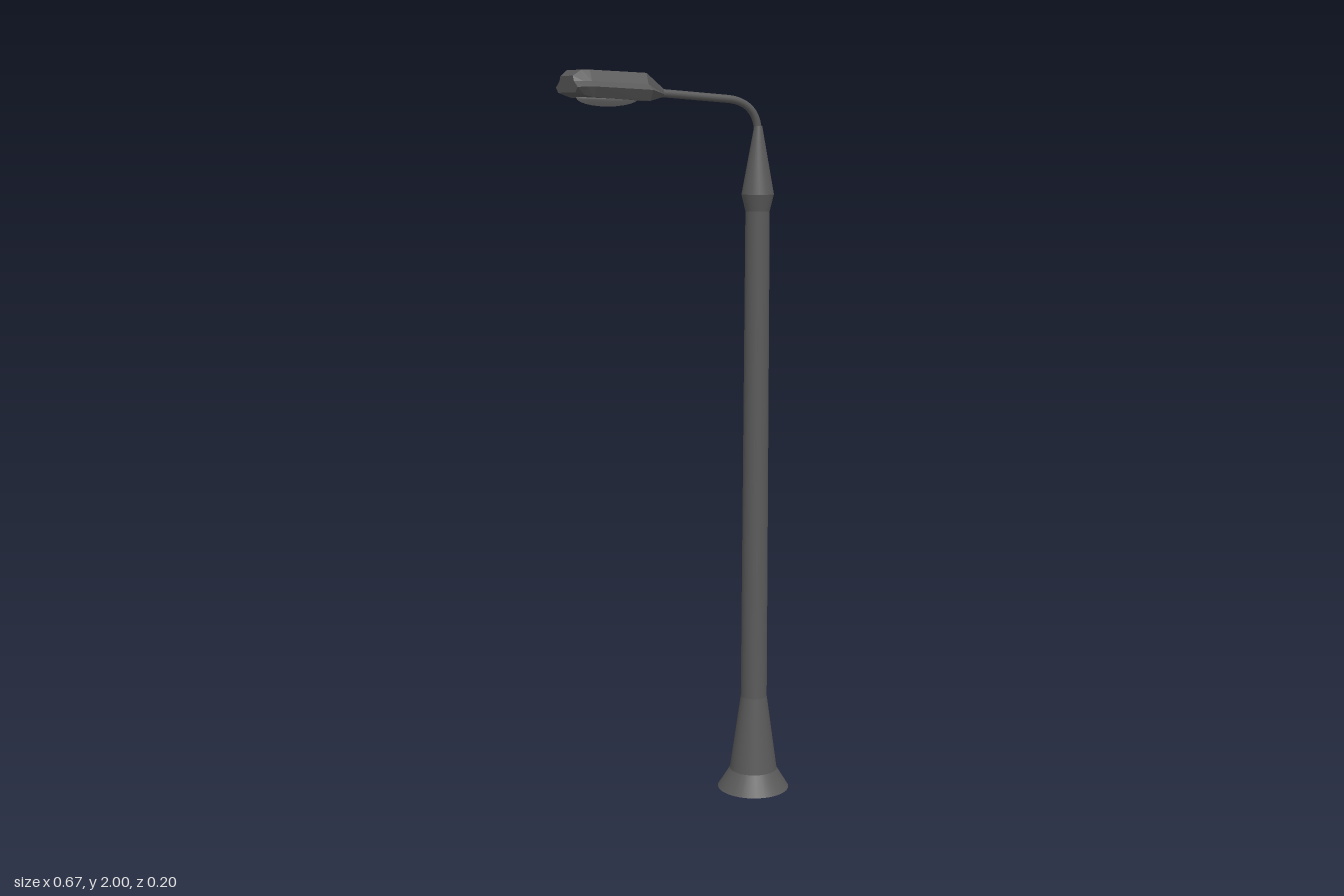
import * as THREE from 'three';

const metal = new THREE.MeshStandardMaterial({ color: 0x5a5a5a });
const facetedMetal = new THREE.MeshStandardMaterial({ color: 0x5a5a5a, flatShading: true });
const glass = new THREE.MeshStandardMaterial({ color: 0x8a8a8a });
const POLE_X = 0.232;

function addMesh(parent, name, geometry, material) {
  const mesh = new THREE.Mesh(geometry, material);
  mesh.name = name;
  parent.add(mesh);
  return mesh;
}

// Closed body through cross-sections of equal point count, with capped ends
function loft(sections) {
  const n = sections[0].length;
  const index = [];
  for (let s = 0; s < sections.length - 1; s++) {
    for (let i = 0; i < n; i++) {
      const a = s * n + i, b = s * n + (i + 1) % n;
      index.push(a, a + n, b, b, a + n, b + n);
    }
  }
  const last = (sections.length - 1) * n;
  for (let i = 1; i < n - 1; i++) {
    index.push(0, i, i + 1, last, last + i + 1, last + i);
  }
  const geometry = new THREE.BufferGeometry();
  geometry.setAttribute('position', new THREE.Float32BufferAttribute(sections.flat(2), 3));
  geometry.setIndex(index);
  const faceted = geometry.toNonIndexed();
  faceted.computeVertexNormals();
  return faceted;
}

// Lamp section at x: half-profile [z, y] from bottom to top, mirrored in z
function lampSection(x, half) {
  const front = half.map(([z, y]) => [x, y, z]);
  const back = half.map(([z, y]) => [x, y, -z]).reverse();
  return [...front, ...back];
}

export function createModel() {
  const model = new THREE.Group();
  model.name = 'streetLamp';

  // Pole: stacked tapered rings with crisp joints
  const pole = new THREE.Group();
  pole.name = 'pole';
  pole.position.x = POLE_X;
  model.add(pole);
  const rings = [[0.101, 0], [0.067, 0.055], [0.037, 0.27], [0.033, 1.635], [0.044, 1.68], [0.011, 1.86]];
  const names = ['baseFlange', 'baseCone', 'shaft', 'collar', 'topCone'];
  names.forEach((name, i) => {
    const [r0, y0] = rings[i], [r1, y1] = rings[i + 1];
    const part = addMesh(pole, name, new THREE.CylinderGeometry(r1, r0, y1 - y0, 28, 1, true), metal);
    part.position.y = (y0 + y1) / 2;
  });
  const underside = addMesh(pole, 'baseUnderside', new THREE.CircleGeometry(0.101, 28), metal);
  underside.rotation.x = Math.PI / 2;

  // Arm: rises from the cone and bends over to the lamp
  const armPath = new THREE.CurvePath();
  const p = (x, y) => new THREE.Vector3(x, y, -0.002);
  armPath.add(new THREE.LineCurve3(p(POLE_X, 1.83), p(POLE_X, 1.85)));
  armPath.add(new THREE.CubicBezierCurve3(p(POLE_X, 1.85), p(0.228, 1.9), p(0.195, 1.926), p(0.14, 1.931)));
  armPath.add(new THREE.LineCurve3(p(0.14, 1.931), p(-0.064, 1.945)));
  addMesh(model, 'arm', new THREE.TubeGeometry(armPath, 40, 0.0105, 12, false), metal);

  // Lamp head: sections from the blunt end to the neck
  const lamp = new THREE.Group();
  lamp.name = 'lampHead';
  model.add(lamp);
  const sections = [
    lampSection(-0.333, [[0.05, 1.944], [0.063, 1.957], [0.042, 1.972], [0.036, 1.985]]),
    lampSection(-0.312, [[0.058, 1.938], [0.073, 1.958], [0.051, 1.972], [0.043, 2.0]]),
    lampSection(-0.29, [[0.066, 1.932], [0.082, 1.958], [0.056, 1.972], [0.045, 2.0]]),
    lampSection(-0.13, [[0.066, 1.924], [0.082, 1.951], [0.056, 1.966], [0.045, 1.994]]),
    lampSection(-0.06, [[0.006, 1.935], [0.011, 1.942], [0.01, 1.948], [0.006, 1.956]]),
  ];
  addMesh(lamp, 'lampHousing', loft(sections), facetedMetal);

  // Lens: shallow bowl under the housing
  const lens = addMesh(lamp, 'lens',
    new THREE.SphereGeometry(1, 20, 6, 0, Math.PI * 2, Math.PI / 2, Math.PI / 2), glass);
  lens.scale.set(0.085, 0.023, 0.06);
  lens.position.set(-0.218, 1.933, 0);

  return model;
}
